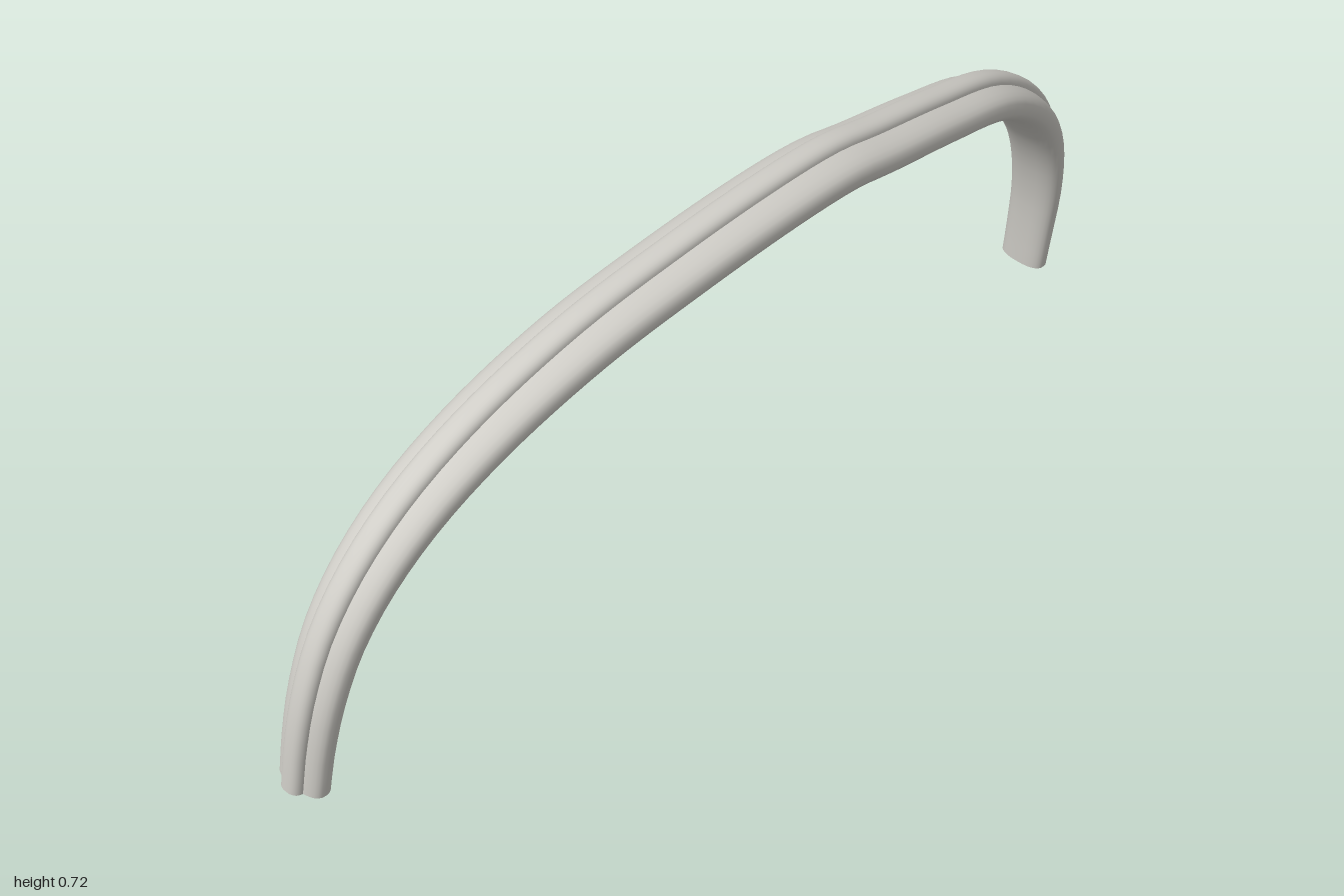
import * as THREE from 'three';

// Centre line of the body, from the right foot over the crown to the left foot
const leg = [
  [0.96, 0.02, -0.082], [0.955, 0.1, -0.07], [0.942, 0.2, -0.053], [0.91, 0.305, -0.036],
  [0.855, 0.397, -0.019], [0.77, 0.48, -0.002], [0.64, 0.555, 0.016],
];
const crown = [
  [-0.45, 0.62, 0.036], [-0.23, 0.655, 0.05], [0, 0.669, 0.055],
  [0.15, 0.663, 0.053], [0.25, 0.645, 0.05], [0.45, 0.606, 0.036],
];
const points = [...leg.map(([x, y, z]) => [-x, y, z]), ...crown, ...[...leg].reverse()];
const path = new THREE.CatmullRomCurve3(points.map((p) => new THREE.Vector3(...p)));

// Sweeps a rounded section along the path; size(k) gives half width, half height
// and outward offset, with k = 0 at the feet and 1 at the crown
function sweep(size, power, tipLength, rows = 72, sides = 28) {
  const position = [], index = [], rings = [];
  const round = (v) => Math.sign(v) * Math.abs(v) ** (2 / power);
  for (let i = 0; i <= rows; i++) {
    const t = path.getTangentAt(i / rows);
    const c = path.getPointAt(i / rows);
    const s = new THREE.Vector3(0, 0, 1).addScaledVector(t, -t.z).normalize();
    const n = new THREE.Vector3().crossVectors(s, t);
    const [w, h, offset] = size(Math.min(1, Math.max(0, c.y / 0.669)));
    c.addScaledVector(n, offset);
    const ring = [];
    for (let j = 0; j < sides; j++) {
      const a = (j / sides) * Math.PI * 2;
      ring.push(c.clone().addScaledVector(s, w * round(Math.cos(a))).addScaledVector(n, h * round(Math.sin(a))));
    }
    rings.push({ ring, c, t });
    ring.forEach((p) => position.push(p.x, p.y, p.z));
  }
  for (let i = 0; i < rows; i++) {
    for (let j = 0; j < sides; j++) {
      const k = (j + 1) % sides;
      const a = i * sides + j, b = i * sides + k;
      index.push(a, a + sides, b, b, a + sides, b + sides);
    }
  }
  // Blunt pointed caps with their own vertices for a crisp edge
  for (const [end, dir] of [[rings[0], -1], [rings[rows], 1]]) {
    const tip = position.length / 3;
    const p = end.c.clone().addScaledVector(end.t, dir * tipLength);
    position.push(p.x, p.y, p.z);
    end.ring.forEach((q) => position.push(q.x, q.y, q.z));
    for (let j = 0; j < sides; j++) {
      const a = tip + 1 + j, b = tip + 1 + ((j + 1) % sides);
      if (dir < 0) index.push(tip, a, b);
      else index.push(tip, b, a);
    }
  }
  const geometry = new THREE.BufferGeometry();
  geometry.setAttribute('position', new THREE.Float32BufferAttribute(position, 3));
  geometry.setIndex(index);
  geometry.computeVertexNormals();
  return geometry;
}

export function createModel() {
  const group = new THREE.Group();
  group.name = 'arch';
  const material = new THREE.MeshStandardMaterial({ color: 0xcfcdc7 });
  material.name = 'pale grey';
  const add = (name, geometry) => {
    const mesh = new THREE.Mesh(geometry, material);
    mesh.name = name;
    group.add(mesh);
  };
  const mix = THREE.MathUtils.lerp;

  // Wide band, broader at the crown than at the feet
  add('archBand', sweep((k) => [mix(0.047, 0.074, k ** 1.5), mix(0.025, 0.035, k), 0], 2.5, 0.012));
  // Raised rib running along the outside
  add('outerRib', sweep((k) => [mix(0.021, 0.026, k), 0.021, mix(0.019, 0.031, k)], 2.5, 0.018));
  return group;
}
